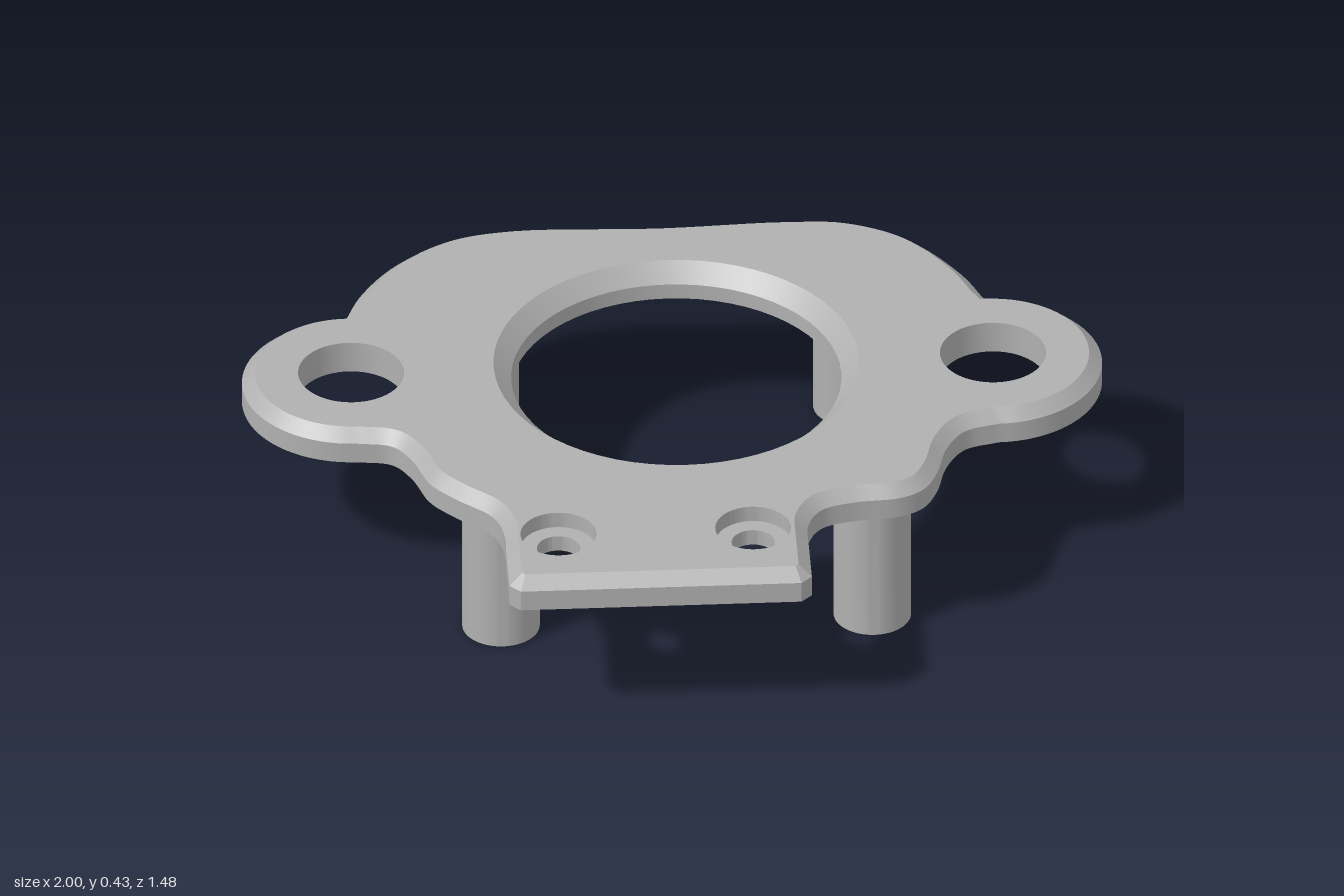
import * as THREE from 'three';
import { toCreasedNormals } from 'three/addons/utils/BufferGeometryUtils.js';

const BOTTOM = 0.345, EDGE = 0.397, TOP = 0.425, INSET = 0.03, SIDES = 64;
const V = (x, z) => new THREE.Vector2(x, z);
const crease = (geometry) => toCreasedNormals(geometry, 0.5);

// Smooth plan curve through [x, z] pairs
function spline(pairs, n) {
  const curve = new THREE.CatmullRomCurve3(pairs.map(([x, z]) => new THREE.Vector3(x, 0, z)));
  return curve.getPoints(n).map((p) => V(p.x, p.z));
}

// Arc in plan; angles in radians from +x towards +z
function arc(cx, cz, r, a0, a1, n) {
  return Array.from({ length: n + 1 }, (_, i) => {
    const a = a0 + (a1 - a0) * i / n;
    return V(cx + r * Math.cos(a), cz + r * Math.sin(a));
  });
}

const circle = (x, z, r) => arc(x, z, r, 0, Math.PI * 2, SIDES).slice(0, -1);

// Plate outline, clockwise from the back left notch
function plateOutline() {
  const points = [
    ...spline([[-0.745, -0.403], [-0.7, -0.51], [-0.61, -0.63], [-0.49, -0.71], [-0.34, -0.742],
      [0, -0.735], [0.3, -0.745], [0.44, -0.732], [0.58, -0.66], [0.69, -0.52], [0.743, -0.403]], 60),
    ...arc(0.745, -0.15, 0.253, -Math.PI / 2, Math.PI / 2, 36),
    ...spline([[0.745, 0.103], [0.665, 0.13], [0.618, 0.2], [0.59, 0.3], [0.555, 0.365], [0.5, 0.397],
      [0.39, 0.41], [0.315, 0.437], [0.28, 0.5], [0.277, 0.58]], 48),
    V(0.277, 0.71), V(0.252, 0.735), V(-0.4, 0.735), V(-0.425, 0.71),
    ...spline([[-0.425, 0.58], [-0.425, 0.5], [-0.447, 0.425], [-0.53, 0.345], [-0.585, 0.28],
      [-0.622, 0.18], [-0.665, 0.12], [-0.745, 0.103]], 40),
    ...arc(-0.745, -0.15, 0.253, Math.PI / 2, Math.PI * 1.5, 36),
  ];
  return points.filter((p, i) => p.distanceTo(points[(i + 1) % points.length]) > 0.002);
}

// Mitred inward offset of a clockwise loop
function insetLoop(loop, width) {
  const normal = (a, b) => V(a.y - b.y, b.x - a.x).normalize();
  return loop.map((p, i) => {
    const n1 = normal(loop.at(i - 1), p), n2 = normal(p, loop[(i + 1) % loop.length]);
    return p.clone().addScaledVector(n1.clone().add(n2), width / (1 + n1.dot(n2)));
  });
}

// Outer skin through stacked loops
function loft(layers) {
  const pos = [];
  for (let k = 0; k + 1 < layers.length; k++) {
    const [a, ya] = layers[k], [b, yb] = layers[k + 1];
    a.forEach((p, i) => {
      const j = (i + 1) % a.length;
      pos.push(p.x, ya, p.y, b[i].x, yb, b[i].y, b[j].x, yb, b[j].y);
      pos.push(p.x, ya, p.y, b[j].x, yb, b[j].y, a[j].x, ya, a[j].y);
    });
  }
  const geometry = new THREE.BufferGeometry();
  geometry.setAttribute('position', new THREE.Float32BufferAttribute(pos, 3));
  return crease(geometry);
}

// Flat face with holes, facing up (1) or down (-1)
function face(loop, holes, y, up) {
  const flip = (pts) => pts.map((p) => V(p.x, -up * p.y));
  const shape = new THREE.Shape(flip(loop));
  shape.holes = holes.map((h) => new THREE.Path(flip(h)));
  return new THREE.ShapeGeometry(shape).rotateX(-up * Math.PI / 2).translate(0, y, 0);
}

const lathe = (profile) => crease(new THREE.LatheGeometry(profile.map(([x, y]) => V(x, y)), SIDES));

export function createModel() {
  const group = new THREE.Group();
  const metal = new THREE.MeshStandardMaterial({ color: 0xb0b0b0 });
  metal.name = 'greyMetal';
  const add = (name, geometry, x = 0, z = 0) => {
    const mesh = new THREE.Mesh(geometry, metal);
    mesh.name = name;
    mesh.position.set(x, 0, z);
    group.add(mesh);
  };

  // Openings: wall profiles run from the top face to the bottom face
  const earWall = [[0.123, TOP], [0.123, BOTTOM]];
  const screwWall = [[0.088, TOP], [0.088, 0.385], [0.05, 0.385], [0.05, BOTTOM]];
  const openings = [
    ['centreBore', 0.01, -0.15, [[0.424, TOP], [0.383, 0.384], [0.383, BOTTOM]]],
    ['leftEarHole', 0.745, -0.15, earWall],
    ['rightEarHole', -0.745, -0.15, earWall],
    ['leftScrewHole', 0.15, 0.543, screwWall],
    ['rightScrewHole', -0.302, 0.543, screwWall],
  ];
  for (const [name, x, z, wall] of openings) add(name, lathe(wall), x, z);

  // Plate with a chamfered upper rim
  const outline = plateOutline(), rim = insetLoop(outline, INSET);
  add('plateRim', loft([[outline, BOTTOM], [outline, EDGE], [rim, TOP]]));
  add('plateTop', face(rim, openings.map(([, x, z, w]) => circle(x, z, w[0][0])), TOP, 1));
  add('plateUnderside', face(outline, openings.map(([, x, z, w]) => circle(x, z, w.at(-1)[0])), BOTTOM, -1));

  // Standoff posts with blind holes in their feet
  const post = lathe([[0, 0.25], [0.033, 0.25], [0.033, 0], [0.09, 0], [0.09, BOTTOM]]);
  for (const [side, sx] of [['left', 1], ['right', -1]]) {
    for (const [end, sz] of [['Front', 1], ['Back', -1]]) {
      add(`${side}${end}Post`, post, 0.01 + sx * 0.431, -0.148 + sz * 0.431);
    }
  }
  return group;
}
